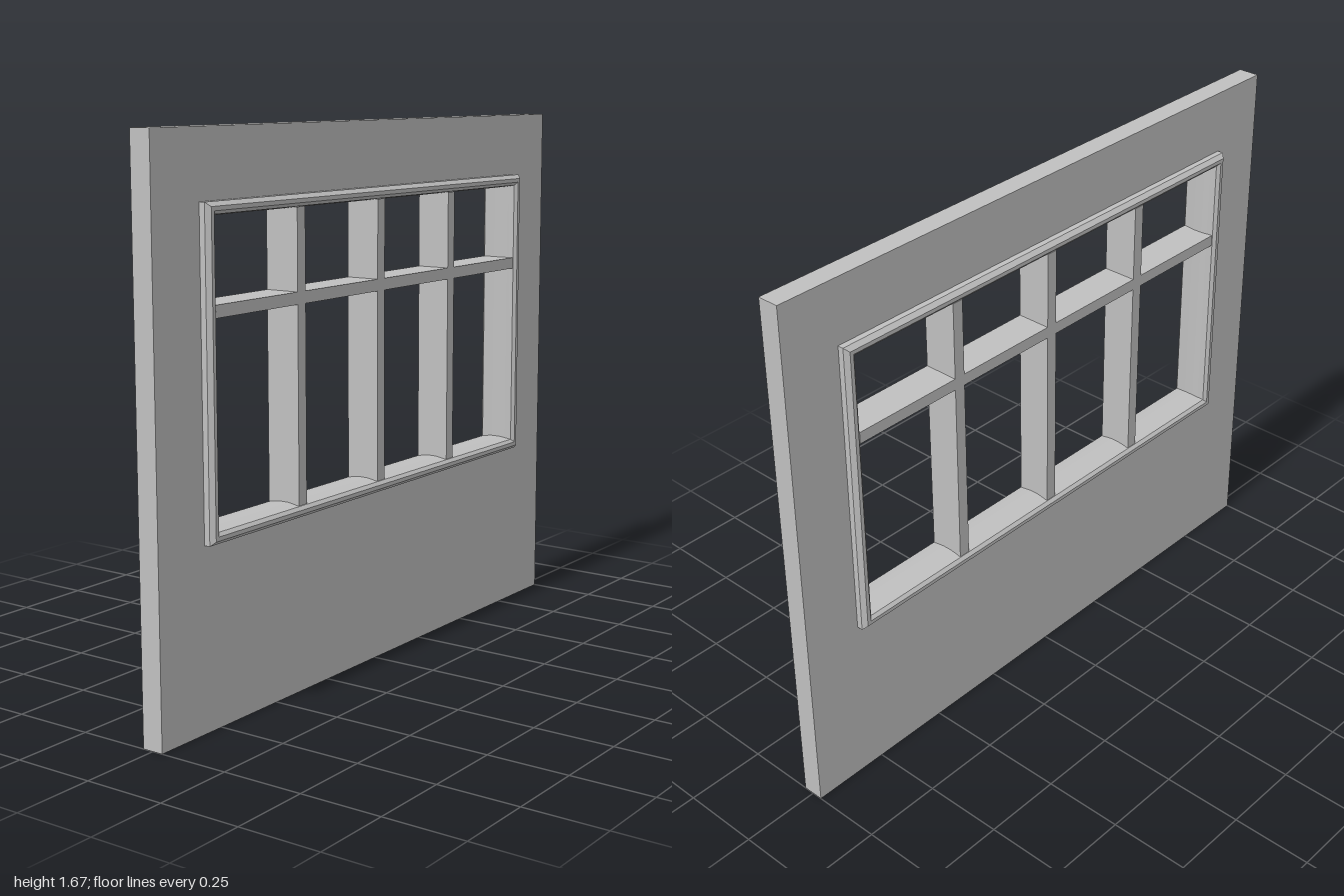
import * as THREE from 'three';

// Sweeps a closed profile of [inset, z] points round a rectangle with mitred corners
function rectangularSweep(halfW, y0, y1, profile) {
  const signs = [[-1, 0], [1, 0], [1, 1], [-1, 1]];
  const point = (k, [inset, z]) => {
    const [sx, top] = signs[k % 4];
    return [sx * (halfW - inset), top ? y1 - inset : y0 + inset, z];
  };
  const pos = [];
  for (let k = 0; k < 4; k++) {
    profile.forEach((p, i) => {
      const q = profile[(i + 1) % profile.length];
      const a = point(k, p), b = point(k + 1, p), c = point(k + 1, q), d = point(k, q);
      pos.push(...a, ...b, ...c, ...a, ...c, ...d);
    });
  }
  const geo = new THREE.BufferGeometry();
  geo.setAttribute('position', new THREE.Float32BufferAttribute(pos, 3));
  geo.computeVertexNormals();
  return geo;
}

export function createModel() {
  const group = new THREE.Group();
  const grey = new THREE.MeshStandardMaterial({ color: 0xc0c0c0 });
  grey.name = 'plain grey';

  const add = (name, geo, x = 0, y = 0, z = 0) => {
    const mesh = new THREE.Mesh(geo, grey);
    mesh.name = name;
    mesh.position.set(x, y, z);
    group.add(mesh);
  };

  // Wall panel with the window opening
  const rect = (Type, x, y0, y1) => new Type([
    new THREE.Vector2(-x, y0), new THREE.Vector2(x, y0),
    new THREE.Vector2(x, y1), new THREE.Vector2(-x, y1),
  ]);
  const wall = rect(THREE.Shape, 1, 0, 1.667);
  wall.holes.push(rect(THREE.Path, 0.79, 0.56, 1.447));
  const depth = 0.067;
  add('wall', new THREE.ExtrudeGeometry(wall, { depth, bevelEnabled: false }), 0, 0, -depth / 2);

  // Moulded frame: chamfered outside, gently rounded inside, same on both faces
  const half = [[0, 0.052], [0.012, 0.065], [0.024, 0.065], [0.034, 0.056], [0.038, 0.035], [0.041, 0.015]];
  const back = half.map(([d, z]) => [d, -z]).reverse();
  add('windowFrame', rectangularSweep(0.811, 0.537, 1.47, [...half, ...back]));

  // Glazing bars
  const barDepth = 0.11;
  [-0.396, 0, 0.39].forEach((x, i) => {
    add(`mullion${i + 1}`, new THREE.BoxGeometry(0.037, 0.862, barDepth), x, 1.003, 0);
  });
  add('transom', new THREE.BoxGeometry(1.55, 0.036, barDepth), 0, 1.176, 0);

  return group;
}
